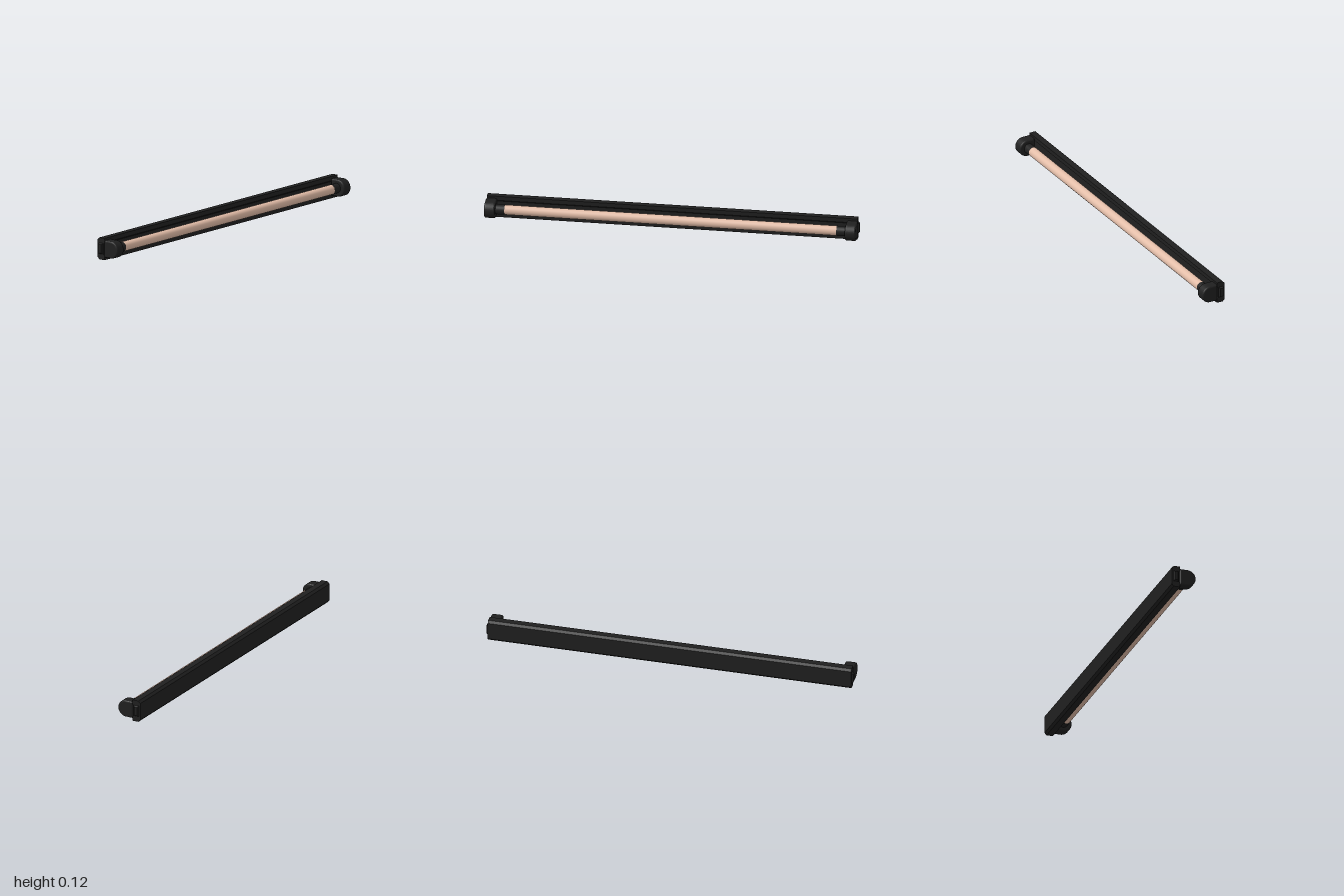
import * as THREE from 'three';

const black = new THREE.MeshStandardMaterial({ color: 0x202020 });
black.name = 'black casing';
const peach = new THREE.MeshStandardMaterial({ color: 0xe3bda8 });
peach.name = 'peach tube';

const CY = 0.06; // height of the tube axis
const TZ = 0.017; // depth of the tube axis

function add(parent, name, geometry, material) {
  const mesh = new THREE.Mesh(geometry, material);
  mesh.name = name;
  parent.add(mesh);
  return mesh;
}

// Extrudes a (z, y) outline along x, centred on x = 0
function extrudeX(shape, width, bevel = 0, segments = 3) {
  const g = new THREE.ExtrudeGeometry(shape, {
    depth: width - 2 * bevel, curveSegments: 20, bevelEnabled: bevel > 0,
    bevelSize: bevel, bevelThickness: bevel, bevelOffset: -bevel, bevelSegments: segments,
  });
  return g.translate(0, 0, bevel - width / 2).rotateY(Math.PI / 2);
}

// Points are [z, y]; the extrusion turns shape x into -z
const outline = (points) => new THREE.Shape(points.map(([z, y]) => new THREE.Vector2(-z, y)));

// Small block on the end of the housing, narrowing outwards
function endTab() {
  const g = new THREE.BoxGeometry(0.014, 0.064, 0.032);
  const p = g.attributes.position;
  for (let i = 0; i < p.count; i++) {
    if (p.getX(i) > 0) p.setXYZ(i, p.getX(i), p.getY(i) * 0.74, p.getZ(i) * 0.55);
  }
  const flat = g.toNonIndexed();
  flat.computeVertexNormals();
  return flat;
}

// D-shaped holder: straight back, round front
function capShape() {
  const s = new THREE.Shape();
  s.moveTo(0.021, CY - 0.046);
  s.lineTo(0.021, CY + 0.046);
  s.lineTo(-0.022, CY + 0.046);
  s.absarc(-0.022, CY, 0.046, Math.PI / 2, Math.PI * 1.5, false);
  s.closePath();
  return s;
}

export function createModel() {
  const model = new THREE.Group();
  model.name = 'tubeLight';

  // Long housing with chamfered back edges and a shallow front channel
  add(model, 'housing', extrudeX(outline([
    [-0.02, 0], [-0.055, 0], [-0.067, 0.012], [-0.067, 0.106], [-0.055, 0.118], [-0.02, 0.118],
    [-0.02, 0.095], [-0.026, 0.089], [-0.026, 0.029], [-0.02, 0.023],
  ]), 1.98), black);

  // Glowing tube
  const tube = add(model, 'tube', new THREE.CylinderGeometry(0.026, 0.026, 1.78, 32).rotateZ(Math.PI / 2), peach);
  tube.position.set(0, CY, TZ);

  // Fittings at both ends, the second turned round to mirror the first
  for (const side of [1, -1]) {
    const end = new THREE.Group();
    end.name = side > 0 ? 'leftEnd' : 'rightEnd';
    model.add(end);

    const socket = add(end, 'socket', new THREE.CylinderGeometry(0.0265, 0.0265, 0.06, 32).rotateZ(Math.PI / 2), black);
    socket.position.set(side * 0.917, CY, TZ);

    const holder = add(end, 'holder', extrudeX(capShape(), 0.058, 0.008), black);
    holder.position.x = side * 0.964;

    const tab = add(end, 'endTab', endTab(), black);
    tab.position.set(side * 0.993, CY, -0.044);
    tab.rotation.y = side > 0 ? 0 : Math.PI;
  }
  return model;
}
